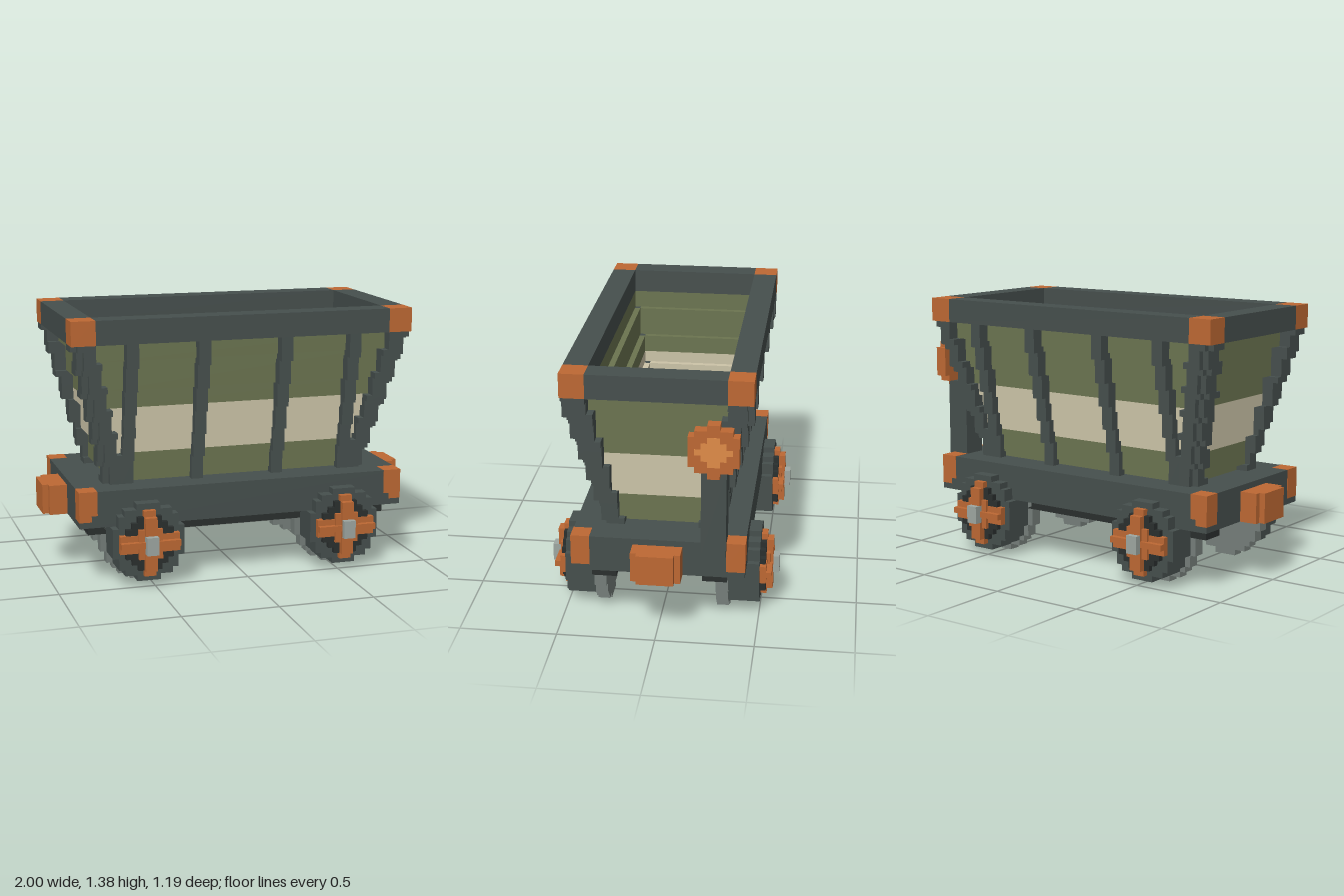
import * as THREE from 'three';

const U = 1 / 32; // one block
const mat = (color) => new THREE.MeshStandardMaterial({ color, flatShading: true });
const IRON = mat(0x464f4d), DARK = mat(0x2a2f2e), STEEL = mat(0x757e7a), HUB = mat(0x9ea7a1);
const OLIVE = mat(0x6b7450), CREAM = mat(0xccc4a8), COPPER = mat(0xbd6833), GLOW = mat(0xe08c48);

// Box given by its limits in blocks
function box(parent, name, material, x0, x1, y0, y1, z0, z1) {
  const m = new THREE.Mesh(
    new THREE.BoxGeometry(Math.abs(x1 - x0) * U, (y1 - y0) * U, Math.abs(z1 - z0) * U), material);
  m.position.set((x0 + x1) / 2 * U, (y0 + y1) / 2 * U, (z0 + z1) / 2 * U);
  m.name = name;
  parent.add(m);
}

// Stepped round plate: half-width per one-block row, extruded along z
function disc(parent, name, material, halves, y0, z0, z1) {
  const s = new THREE.Shape();
  s.moveTo(-halves[0] * U, y0 * U);
  halves.forEach((h, i) => {
    s.lineTo(h * U, (y0 + i) * U);
    s.lineTo(h * U, (y0 + i + 1) * U);
  });
  for (let i = halves.length - 1; i >= 0; i--) {
    s.lineTo(-halves[i] * U, (y0 + i + 1) * U);
    if (i > 0) s.lineTo(-halves[i] * U, (y0 + i) * U);
  }
  const m = new THREE.Mesh(
    new THREE.ExtrudeGeometry(s, { depth: (z1 - z0) * U, bevelEnabled: false }), material);
  m.position.z = z0 * U;
  m.name = name;
  parent.add(m);
}

function group(parent, name) {
  const g = new THREE.Group();
  g.name = name;
  parent.add(g);
  return g;
}

function makeWheel(parent) {
  const w = group(parent, 'wheel');
  disc(w, 'wheelFlange', STEEL, [2, 4, 5, 6, 6, 7, 7, 7, 7, 7, 6, 6, 5, 4, 2], 0, 9, 11);
  disc(w, 'wheelTread', IRON, [2, 4, 5, 5, 6, 6, 6, 6, 6, 5, 5, 4, 2], 1, 11, 16);
  disc(w, 'wheelFace', DARK, [2, 3, 4, 4, 4, 4, 4, 3, 2], 3, 16, 16.9);
  box(w, 'verticalSpoke', COPPER, -1, 1, 2, 13, 16, 17);
  box(w, 'verticalSpokeCap', COPPER, -1, 1, 3, 12, 17, 18);
  box(w, 'horizontalSpoke', COPPER, -5, 5, 6, 9, 16, 17.05);
  box(w, 'horizontalSpokeRib', COPPER, -5, 5, 7, 8, 17, 17.95);
  box(w, 'spokeCentre', COPPER, -2, 2, 5, 10, 16, 17.5);
  box(w, 'wheelHub', HUB, -1, 1, 6, 9, 17, 19);
  return w;
}

export function createModel() {
  const model = new THREE.Group();
  model.name = 'mineWagon';
  const sides = [-1, 1];

  // Chassis with end buffers, copper corners and lower rails
  const chassis = group(model, 'chassis');
  box(chassis, 'chassisFrame', IRON, -28, 28, 10, 16, -14, 14);
  for (const s of sides) {
    box(chassis, 'lowerRail', DARK, -26, 26, 8, 10, s * 7, s * 11);
    box(chassis, 'buffer', COPPER, s * 28, s * 31, 10, 15, -4, 4);
    box(chassis, 'bufferFace', COPPER, s * 31, s * 32, 10, 15, -3, 3);
    for (const t of sides) {
      box(chassis, 'chassisCorner', COPPER, s * 25, s * 28.05, 12, 16.05, t * 11, t * 14.05);
      box(chassis, 'chassisCornerFoot', COPPER, s * 26, s * 28.05, 11, 12, t * 11, t * 14.05);
    }
  }

  // Wheels and axles
  for (const s of sides) {
    const set = group(model, 'wheelSet');
    set.position.x = s * 17 * U;
    box(set, 'axle', IRON, -1.5, 1.5, 6, 9, -10, 10);
    makeWheel(set);
    makeWheel(set).rotation.y = Math.PI;
  }

  // Flared tub: plank walls step outwards every five blocks
  const tub = group(model, 'tub');
  const flare = (y) => Math.floor((y - 17) / 5);
  box(tub, 'tubFloor', OLIVE, -21, 21, 16, 16.5, -7, 7);
  const planks = [16, 17, 21, 22, 27, 29, 32, 37, 40];
  for (let i = 0; i < planks.length - 1; i++) {
    const y0 = planks[i], y1 = planks[i + 1];
    const paint = y0 >= 21 && y0 < 29 ? CREAM : OLIVE;
    const ix = 21 + flare(y0), iz = 7 + flare(y0);
    for (const s of sides) {
      box(tub, 'sideWall', paint, -ix, ix, y0, y1, s * iz, s * (iz + 2));
      box(tub, 'endWall', paint, s * ix, s * (ix + 1), y0, y1, -iz, iz);
    }
  }

  // Leaning corner posts, one block per layer, outer edge notched away
  for (let y = 16; y < 40; y++) {
    const ix = 21 + flare(y), iz = 7 + flare(y);
    const ox = 23 + Math.floor((y - 15) / 4), oz = 10 + Math.floor((y - 16) / 4);
    const front = 20 + Math.max(0, Math.floor((y - 17) / 4));
    for (const s of sides) for (const t of sides) {
      box(tub, 'cornerPost', IRON, s * ix, s * ox, y, y + 1, t * iz, t * (oz - 1));
      box(tub, 'cornerPostFront', IRON, s * front, s * (ox - 1), y, y + 1, t * (iz + 1), t * oz);
    }
  }

  // Side posts, stepping every four blocks
  for (let i = 0; i < 6; i++) {
    const y = 16 + i * 4;
    for (const x of [-18, -6, 6, 18]) for (const t of sides)
      box(tub, 'sidePost', IRON, x, x + Math.sign(x) * 2, y, y + 4, t * (8.5 + flare(y + 3)), t * (10 + i));
  }

  // Top rim
  const rim = group(model, 'rim');
  for (const s of sides) {
    box(rim, 'sideRim', IRON, -25, 25, 40, 44, s * 11, s * 15);
    box(rim, 'endRim', IRON, s * 25, s * 29, 40, 44, -11, 11);
    for (const t of sides)
      box(rim, 'rimCorner', COPPER, s * 25, s * 29, 40, 44, t * 11, t * 15);
  }

  // Lamp on its post at one end
  box(model, 'lampPost', IRON, 25, 29, 14, 29, -11, -7);
  const lamp = group(model, 'lamp');
  lamp.rotation.y = Math.PI / 2;
  lamp.position.z = -9 * U;
  disc(lamp, 'lampCase', COPPER, [1, 3, 4, 4, 4, 4, 4, 3, 1], 28, 28, 30);
  disc(lamp, 'lampGlow', GLOW, [1, 2, 3, 2, 1], 30, 29, 30.05);

  return model;
}
